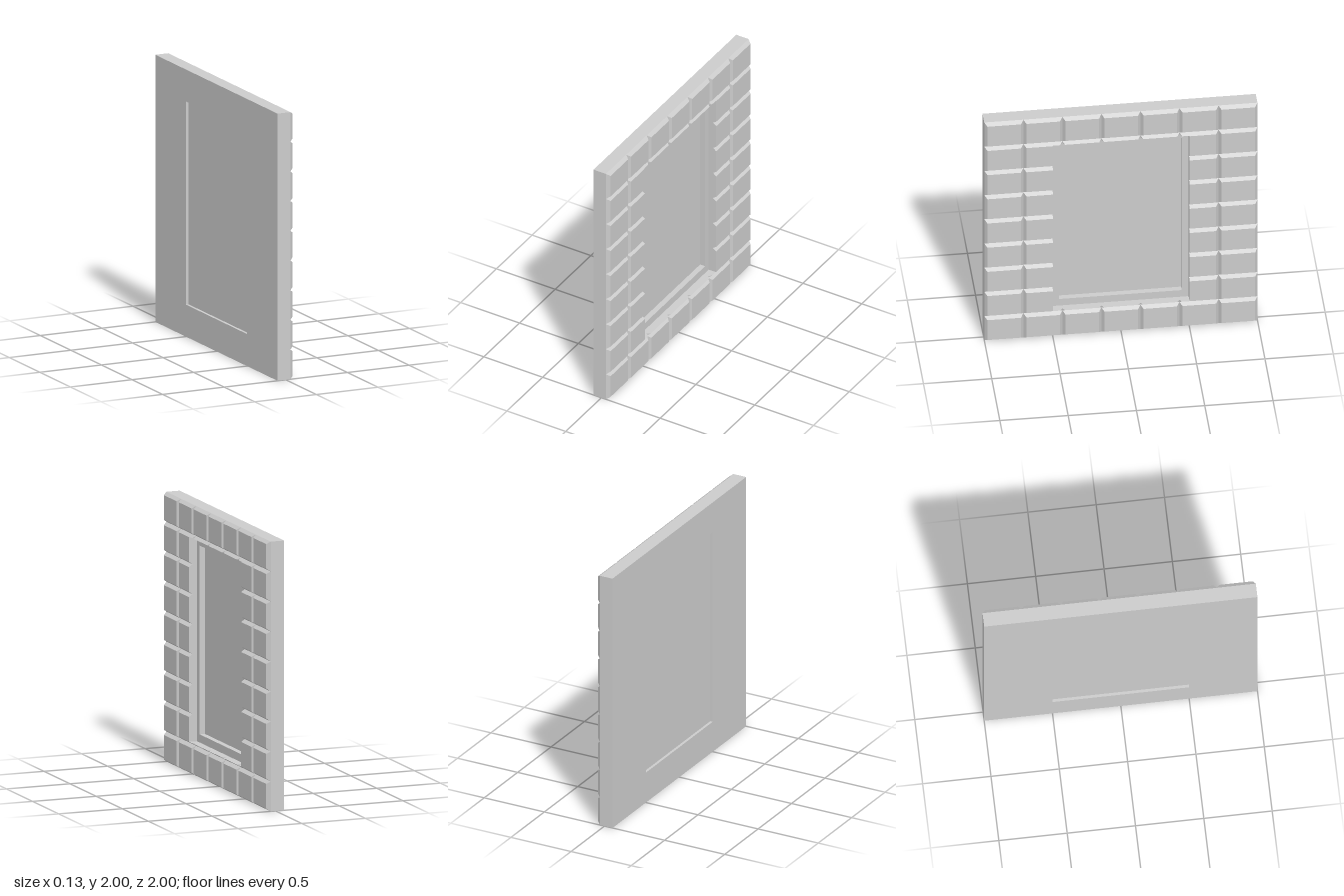
import * as THREE from 'three';

const BACK = -0.067, FACE = 0.038, RISE = 0.028, BEVEL = 0.02;
const COLS = 7, ROWS = 9;
const HOLE = { z: 0.5, y0: 0.24, y1: 1.76 };

const material = new THREE.MeshStandardMaterial({ color: 0xcccccc, flatShading: true });

function rect(path, half, y0, y1) {
  path.moveTo(-half, y0);
  path.lineTo(half, y0);
  path.lineTo(half, y1);
  path.lineTo(-half, y1);
  path.closePath();
  return path;
}

// Rectangular ring standing in the zy plane, from x0 to x1
function ring(outer, inner, x0, x1) {
  const shape = rect(new THREE.Shape(), ...outer);
  shape.holes.push(rect(new THREE.Path(), ...inner));
  const geo = new THREE.ExtrudeGeometry(shape, { depth: x1 - x0, bevelEnabled: false });
  return geo.rotateY(Math.PI / 2).translate(x0, 0, 0);
}

// Tapered block on the wall face; base and top are [z0, z1, y0, y1]
function block(base, top, rise) {
  const geo = new THREE.BoxGeometry(1, 1, 1);
  const p = geo.attributes.position;
  for (let i = 0; i < p.count; i++) {
    const outer = p.getX(i) > 0;
    const r = outer ? top : base;
    p.setXYZ(i, FACE + (outer ? rise : 0), r[p.getY(i) > 0 ? 3 : 2], r[p.getZ(i) > 0 ? 1 : 0]);
  }
  geo.computeVertexNormals();
  return geo;
}

export function createModel() {
  const group = new THREE.Group();
  const add = (parent, name, geo) => {
    const mesh = new THREE.Mesh(geo, material);
    mesh.name = name;
    parent.add(mesh);
  };

  // Wall with the window opening
  add(group, 'wall', ring([1, 0, 2], [HOLE.z, HOLE.y0, HOLE.y1], BACK, FACE));

  // Window frame and pane set back in the opening
  add(group, 'windowFrame', ring([HOLE.z, HOLE.y0, HOLE.y1], [0.45, 0.3, 1.7], -0.04, 0.002));
  const pane = new THREE.BoxGeometry(0.006, HOLE.y1 - HOLE.y0, HOLE.z * 2);
  add(group, 'windowPane', pane.translate(-0.043, 1, 0));

  // Bevelled stone blocks, trimmed at the opening
  const stones = new THREE.Group();
  stones.name = 'stoneBlocks';
  group.add(stones);
  const w = 2 / COLS, h = 2 / ROWS;
  for (let c = 0; c < COLS; c++) {
    for (let r = 0; r < ROWS; r++) {
      const z0 = -1 + c * w, z1 = z0 + w, y0 = r * h, y1 = y0 + h;
      const base = [z0, z1, y0, y1];
      const top = [z0 + BEVEL, z1 - BEVEL, y0 + BEVEL, y1 - BEVEL];
      const beside = r > 0 && r < ROWS - 1;
      if (beside && c === 1) base[1] = top[1] = -HOLE.z;
      if (beside && c === COLS - 2) base[0] = top[0] = HOLE.z;
      if (!beside || c < 2 || c > COLS - 3) add(stones, 'stoneBlock', block(base, top, RISE));

      // Narrow bevel slivers left above and below the opening
      if ((r === 1 || r === ROWS - 2) && c > 0 && c < COLS - 1) {
        const low = r === 1;
        const cut = low ? HOLE.y0 : HOLE.y1;
        const d = low ? cut - y0 : y1 - cut;
        const a = Math.max(z0, -HOLE.z), b = Math.min(z1, HOLE.z);
        const sliverBase = [a, b, low ? y0 : cut, low ? cut : y1];
        const sliverTop = [a, b, cut, cut];
        if (c > 1) sliverTop[0] += d;
        if (c < COLS - 2) sliverTop[1] -= d;
        add(stones, 'stoneSliver', block(sliverBase, sliverTop, RISE * d / BEVEL));
      }
    }
  }

  return group;
}
